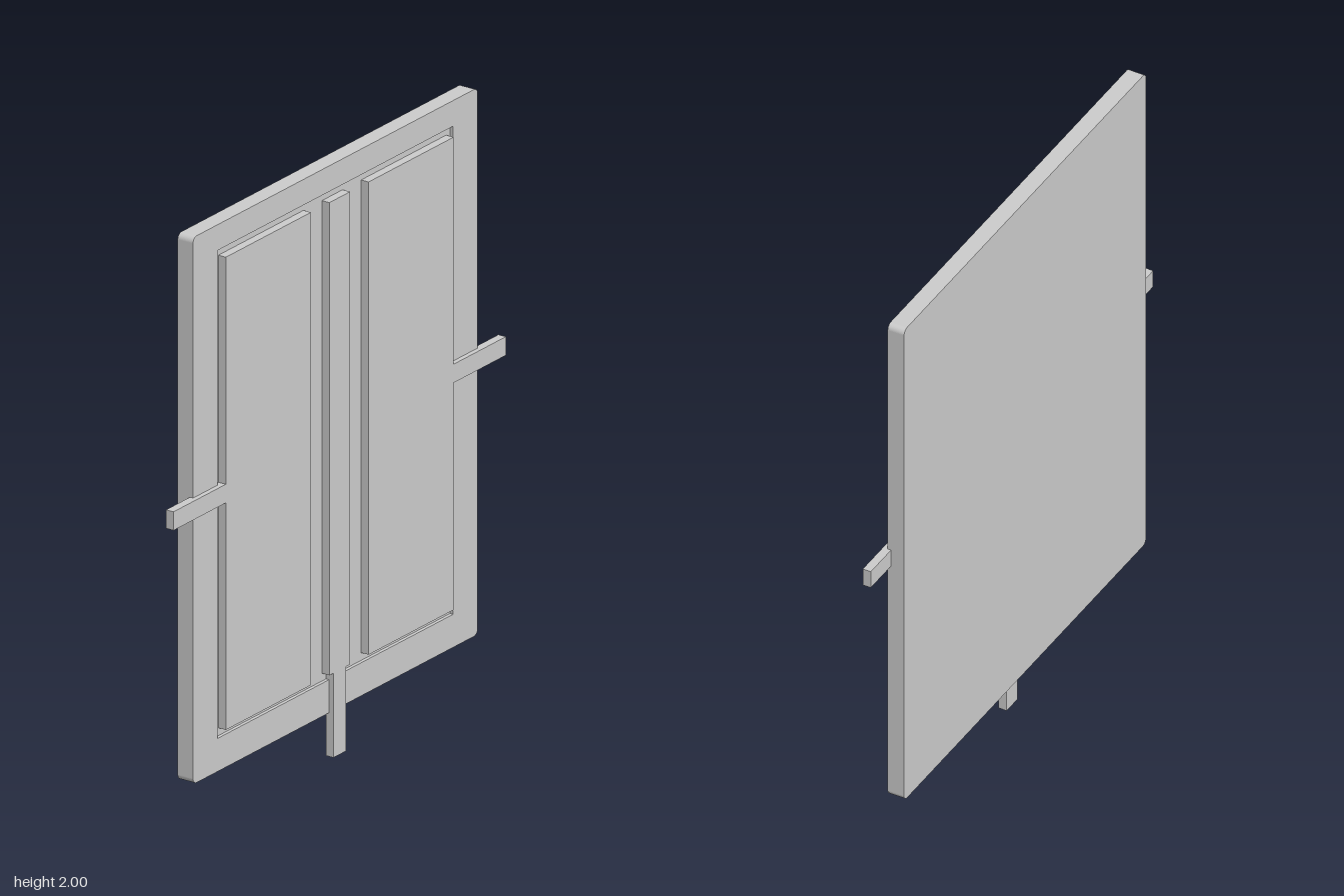
import * as THREE from 'three';

const BACK = -0.038, FLOOR = 0.009, FACE = 0.021, TOP = 0.038;

function polygon(points) {
  return new THREE.Shape(points.map(([u, y]) => new THREE.Vector2(u, y)));
}

function roundedRect(u, y0, y1, r) {
  const s = new THREE.Shape();
  s.moveTo(-u + r, y0);
  s.lineTo(u - r, y0);
  s.absarc(u - r, y0 + r, r, -Math.PI / 2, 0);
  s.absarc(u - r, y1 - r, r, 0, Math.PI / 2);
  s.absarc(-u + r, y1 - r, r, Math.PI / 2, Math.PI);
  s.absarc(-u + r, y0 + r, r, Math.PI, Math.PI * 1.5);
  return s;
}

// Extrudes an upright outline along x; the outline's u axis becomes -z
function slab(name, shape, x0, x1) {
  const geo = new THREE.ExtrudeGeometry(shape, { depth: x1 - x0, bevelEnabled: false, curveSegments: 6 });
  geo.rotateY(Math.PI / 2);
  geo.translate(x0, 0, 0);
  const mesh = new THREE.Mesh(geo, new THREE.MeshStandardMaterial({ color: 0xcccccc }));
  mesh.name = name;
  return mesh;
}

export function createModel() {
  const model = new THREE.Group();
  model.name = 'panelPlate';

  // Backing plate and the raised rim around the shallow recess
  model.add(slab('backingPlate', roundedRect(0.771, 0.148, 2, 0.02), BACK, FLOOR));
  const rim = roundedRect(0.771, 0.148, 2, 0.02);
  rim.holes.push(polygon([[-0.638, 0.26], [-0.638, 1.913], [0.638, 1.913], [0.638, 0.26]]));
  model.add(slab('recessRim', rim, FLOOR, FACE));

  // Mirrored side panels, each with a tab reaching past the plate edge
  for (const [name, s] of [['frontPanel', -1], ['rearPanel', 1]]) {
    const outline = [
      [0.156, 0.286], [0.617, 0.286], [0.617, 1.055], [0.9, 1.055],
      [0.9, 1.118], [0.617, 1.118], [0.617, 1.887], [0.156, 1.887],
    ].map(([u, y]) => [u * s, y]);
    model.add(slab(name, polygon(outline), FLOOR, TOP));
  }

  // Central strip with its narrower tab reaching below the plate
  model.add(slab('centreStrip', polygon([
    [-0.034, 0], [0.034, 0], [0.034, 0.286], [0.056, 0.286],
    [0.056, 1.887], [-0.056, 1.887], [-0.056, 0.286], [-0.034, 0.286],
  ]), FLOOR, TOP));

  return model;
}
